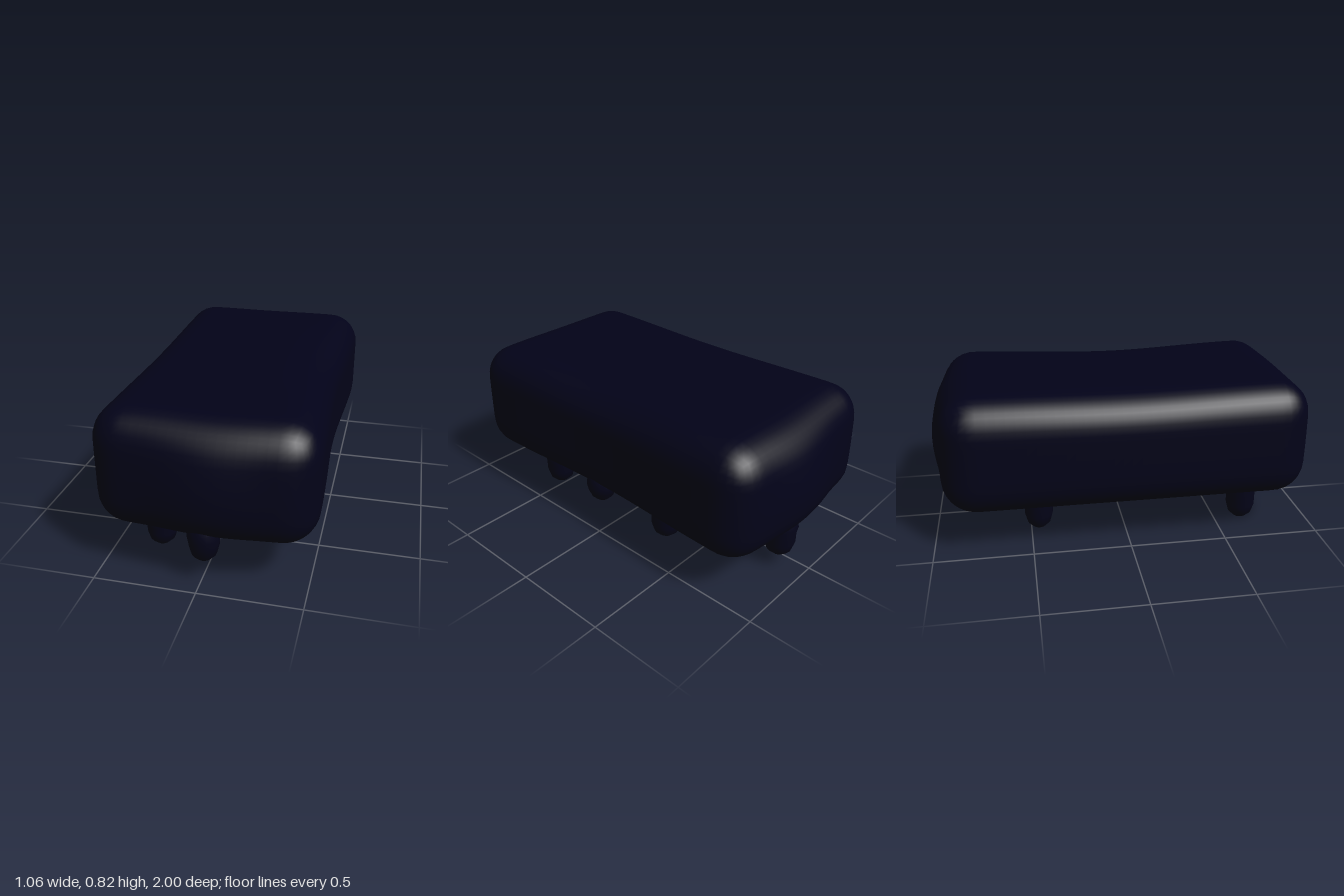
import * as THREE from 'three';
import { mergeVertices } from 'three/addons/utils/BufferGeometryUtils.js';

const darkNavy = new THREE.MeshStandardMaterial({ color: 0x020218 });
darkNavy.name = 'dark navy';

const bump = (v, width) => Math.exp(-((v / width) ** 2));

// Rounded slab with bulging ends and a slightly sunken waist
function slabGeometry() {
  const half = new THREE.Vector3(0.533, 0.302, 0.925);
  const radius = 0.165;
  const inner = half.clone().subScalar(radius);
  const innerMin = inner.clone().negate();
  let geo = new THREE.BoxGeometry(half.x * 2, half.y * 2, half.z * 2, 24, 14, 40);
  geo.deleteAttribute('normal');
  geo.deleteAttribute('uv');
  geo = mergeVertices(geo);
  const pos = geo.attributes.position;
  const p = new THREE.Vector3();
  const core = new THREE.Vector3();
  for (let i = 0; i < pos.count; i++) {
    p.fromBufferAttribute(pos, i);
    core.copy(p).clamp(innerMin, inner);
    p.sub(core).normalize().multiplyScalar(radius).add(core);
    const waist = bump(p.z, 0.55);
    const endness = THREE.MathUtils.smoothstep(Math.abs(p.z), 0.6, 0.925);
    const edge = THREE.MathUtils.smoothstep(Math.abs(p.x), 0.2, 0.5);
    const upper = THREE.MathUtils.smoothstep(p.y, -0.05, 0.3);
    // bulge of the two ends
    p.z += Math.sign(p.z) * 0.075 * endness * bump(p.x - 0.05, 0.31) * bump(p.y + 0.06, 0.26);
    // sag of the top edges and dent of one long side
    p.y -= upper * (0.005 * bump(p.x, 0.25) + waist * (0.008 + (p.x > 0 ? 0.025 : 0.01) * edge));
    if (p.x > 0) p.x -= 0.033 * bump(p.z, 0.5) * edge;
    pos.setXYZ(i, p.x, p.y + 0.517, p.z);
  }
  geo.computeVertexNormals();
  return geo;
}

// Hanging drip: rounded tip, straight neck, root closing inside the slab
function dripGeometry(tip, r) {
  const profile = [
    [0, tip], [r * 0.45, tip + 0.012], [r * 0.8, tip + 0.038], [r * 0.97, tip + 0.085],
    [r * 0.98, 0.2], [r * 1.07, 0.235], [r * 1.02, 0.275], [r * 0.8, 0.34], [0, 0.43],
  ].map(([x, y]) => new THREE.Vector2(x, y));
  return new THREE.LatheGeometry(profile, 14);
}

export function createModel() {
  const model = new THREE.Group();
  model.name = 'drippingSlab';

  const slab = new THREE.Mesh(slabGeometry(), darkNavy);
  slab.name = 'slab';
  model.add(slab);

  // x, z, tip height, radius
  const drips = [
    [0.01, 0.875, 0.105, 0.075],
    [-0.275, 0.645, 0, 0.079],
    [0.355, 0.465, 0.06, 0.08],
    [0.4, 0.07, 0.13, 0.077],
    [0.31, -0.315, 0.038, 0.081],
    [-0.315, -0.46, 0.052, 0.075],
    [0.06, -0.85, 0.058, 0.081],
  ];
  drips.forEach(([x, z, tip, r], i) => {
    const drip = new THREE.Mesh(dripGeometry(tip, r), darkNavy);
    drip.name = `drip${i + 1}`;
    drip.position.set(x, 0, z);
    model.add(drip);
  });
  return model;
}
